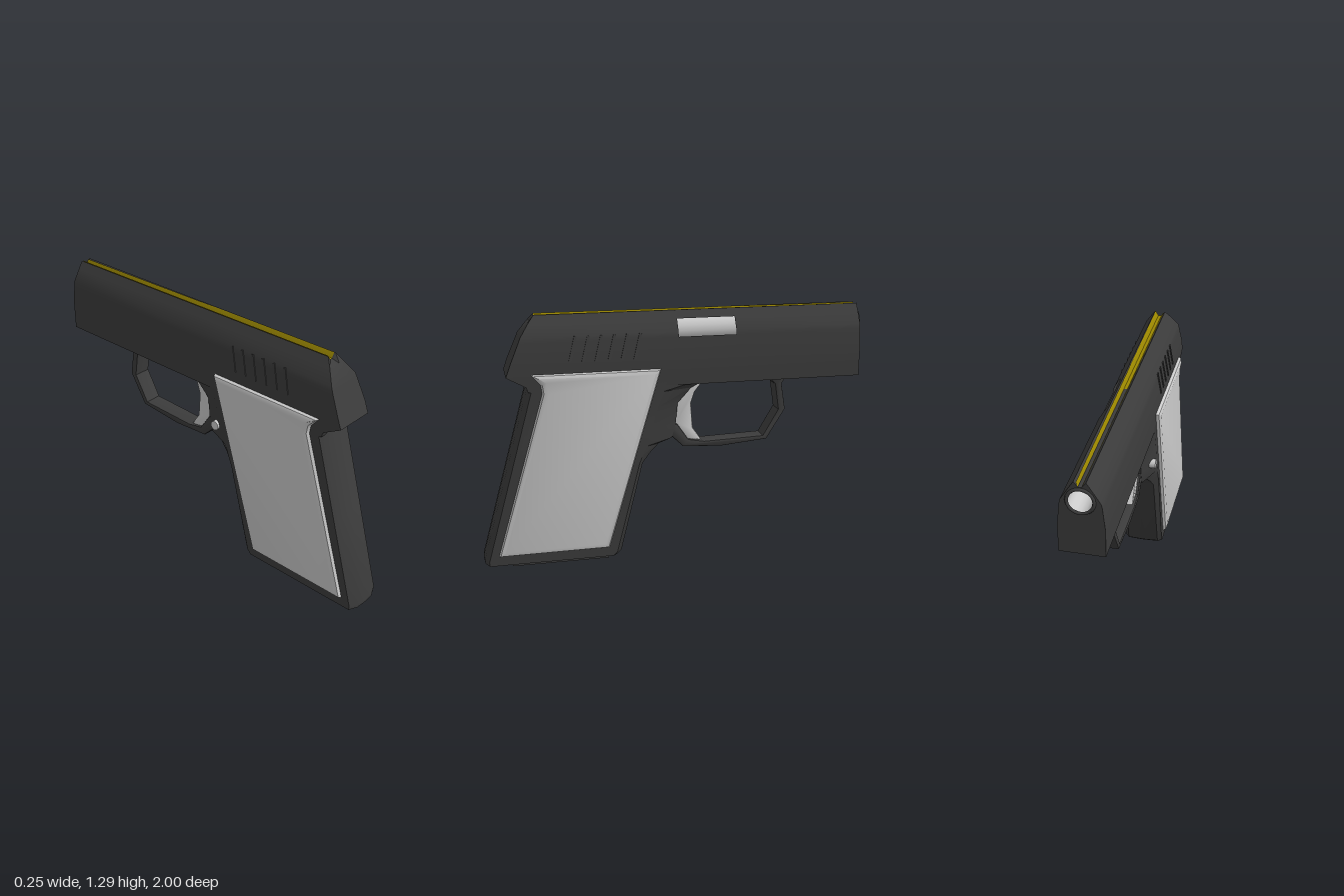
import * as THREE from 'three';
import { toCreasedNormals } from 'three/addons/utils/BufferGeometryUtils.js';

const mat = (color) => new THREE.MeshStandardMaterial({ color, side: THREE.DoubleSide });

// Surface through rows of points; skip(i, j) leaves a cell open
function surface(rows, skip = () => false) {
  const n = rows[0].length, index = [];
  for (let i = 0; i < rows.length - 1; i++) {
    for (let j = 0; j < n - 1; j++) {
      if (skip(i, j)) continue;
      const a = i * n + j, d = a + n;
      index.push(a, a + 1, d + 1, a, d + 1, d);
    }
  }
  const g = new THREE.BufferGeometry();
  g.setAttribute('position', new THREE.Float32BufferAttribute(rows.flat(2), 3));
  g.setIndex(index);
  return toCreasedNormals(g, 0.6);
}

// Side outline given as [z, y], extruded across x with a bevel
function sideExtrude(points, half, bevel, bevelDepth = bevel) {
  const shape = new THREE.Shape(points.map((p) => new THREE.Vector2(...p)));
  const g = new THREE.ExtrudeGeometry(shape, {
    depth: 2 * (half - bevelDepth), bevelEnabled: true, bevelSegments: 2,
    bevelSize: bevel, bevelThickness: bevelDepth, bevelOffset: -bevel,
  });
  g.translate(0, 0, bevelDepth - half);
  g.rotateY(-Math.PI / 2);
  return toCreasedNormals(g, 0.6);
}

export function createModel() {
  const model = new THREE.Group();
  const dark = mat(0x3c3c3c), grey = mat(0xcccccc), gold = mat(0x9c8800);
  const add = (name, geometry, material, x = 0, y = 0, z = 0) => {
    const m = new THREE.Mesh(geometry, material);
    m.name = name;
    m.position.set(x, y, z);
    model.add(m);
    return m;
  };

  // Slide section levels, top to bottom: half width, height, rear z
  const levels = [
    [0.027, 1.29, 0.694], [0.053, 1.25, 0.726], [0.09, 1.19, 0.768], [0.094, 1.165, 0.778],
    [0.105, 1.06, 0.823], [0.105, 1.0, 0.845], [0.105, 0.947, 0.748], [0.105, 0.92, 0.74],
  ];
  const section = [...levels, ...levels.map(([x, y, z]) => [-x, y, z]).reverse()];
  const stations = [null, -0.02, -0.32, -0.99];
  const slideRows = stations.map((s) => section.map(([x, y, z]) => [x, y, s ?? z]));
  // The port is an opening on the left side
  add('slide', surface(slideRows, (i, j) => i === 1 && (j === 1 || j === 2)), dark);

  const capRows = levels.slice(1).reverse()
    .map(([x, y, z]) => [-x, -x / 3, x / 3, x].map((px) => [px, y, z]));
  const groove = (w, y, z) => [[-w, y, z], [-0.008, y - 0.025, z], [0.008, y - 0.025, z], [w, y, z]];
  capRows.push(groove(0.027, 1.29, 0.694));
  add('slideRear', surface(capRows), dark);

  // Sighting groove along the top
  add('sightGroove', surface([groove(0.027, 1.29, 0.694), groove(0.027, 1.29, -0.99)]), dark);
  add('sightStrip', surface([groove(0.024, 1.292, 0.69), groove(0.016, 1.288, -0.99)]), gold);

  // Muzzle face with the bore
  const face = new THREE.Shape([
    ...section.map(([x, y]) => new THREE.Vector2(x, y)),
    new THREE.Vector2(-0.008, 1.265), new THREE.Vector2(0.008, 1.265),
  ]);
  const bore = new THREE.Path();
  bore.absarc(0, 1.195, 0.056, 0, Math.PI * 2);
  face.holes.push(bore);
  const faceGeo = new THREE.ShapeGeometry(face, 12);
  faceGeo.rotateY(Math.PI);
  add('muzzleFace', faceGeo, dark, 0, 0, -0.99);
  add('muzzleRing', new THREE.TorusGeometry(0.06, 0.008, 6, 20), dark, 0, 1.195, -0.992);
  const tube = new THREE.CylinderGeometry(0.055, 0.055, 0.5, 16, 1, true);
  tube.rotateX(Math.PI / 2);
  add('bore', tube, grey, 0, 1.195, -0.745);
  const chamber = new THREE.CylinderGeometry(0.07, 0.07, 0.5, 16);
  chamber.rotateX(Math.PI / 2);
  add('chamber', chamber, grey, 0, 1.19, -0.2);

  // Slanted serrations on both sides of the slide
  for (const s of [-1, 1]) {
    for (let i = 0; i < 6; i++) {
      const bar = add('serration', new THREE.BoxGeometry(0.008, 0.13, 0.014), dark,
        s * 0.098, 1.127, 0.19 + i * 0.065);
      bar.rotation.set(-0.25, 0, s * 0.105);
    }
  }

  // Grip frame rows: height, front z, start of the nose, nose half width
  const gripRows = [
    [0.015, 0.305, 0.33, 0.085], [0.037, 0.281, 0.31, 0.085], [0.508, 0.163, 0.19, 0.08],
    [0.56, 0.12, 0.17, 0.07], [0.604, 0.072, 0.155, 0.06], [0.626, 0, 0.145, 0.05],
    [0.7, -0.02, 0.12, 0.048], [0.81, -0.03, 0.09, 0.048], [0.89, -0.1, 0.06, 0.055],
    [0.95, -0.2, 0.04, 0.08],
  ].map(([y, front, side, w]) => {
    const back = 1 - Math.abs(y - 0.03) * 0.28;
    const half = [[0, back], [0.06, back - 0.004], [0.105, back - 0.025], [0.105, side],
      [w, front + 0.005], [0, front]];
    return [...half, ...half.slice(0, -1).reverse().map(([x, z]) => [-x, z])]
      .map(([x, z]) => [x, y, z]);
  });
  gripRows.unshift(gripRows[0].map(([, y, z]) => [0, y, z]));
  add('gripFrame', surface(gripRows), dark);

  add('gripPanels', sideExtrude([
    [0.727, 1.01], [0.68, 0.957], [0.673, 0.914], [0.925, 0.064], [0.351, 0.064], [0.072, 1.01],
  ], 0.127, 0.03, 0.025), grey);
  add('magazineBase', new THREE.BoxGeometry(0.18, 0.03, 0.5), dark, 0, 0.015, 0.605);

  // Trigger and its guard
  add('triggerGuard', sideExtrude([
    [0.03, 0.64], [0, 0.626], [-0.056, 0.572], [-0.26, 0.56], [-0.512, 0.583], [-0.61, 0.743],
    [-0.587, 0.882], [-0.625, 0.935], [-0.5, 0.935], [-0.55, 0.882], [-0.571, 0.743],
    [-0.49, 0.604], [-0.17, 0.594], [-0.083, 0.61], [-0.025, 0.695], [0.03, 0.71],
  ], 0.048, 0.008), dark);
  add('trigger', sideExtrude([
    [-0.01, 0.7], [-0.01, 0.83], [-0.09, 0.93], [-0.175, 0.93], [-0.12, 0.86], [-0.1, 0.8],
    [-0.11, 0.668], [-0.158, 0.596], [-0.08, 0.605],
  ], 0.036, 0.01), grey);

  // Release button on the right side
  const button = new THREE.CylinderGeometry(0.025, 0.025, 0.05, 12);
  button.rotateZ(Math.PI / 2);
  add('releaseButton', button, grey, -0.085, 0.71, 0.075);

  return model;
}
